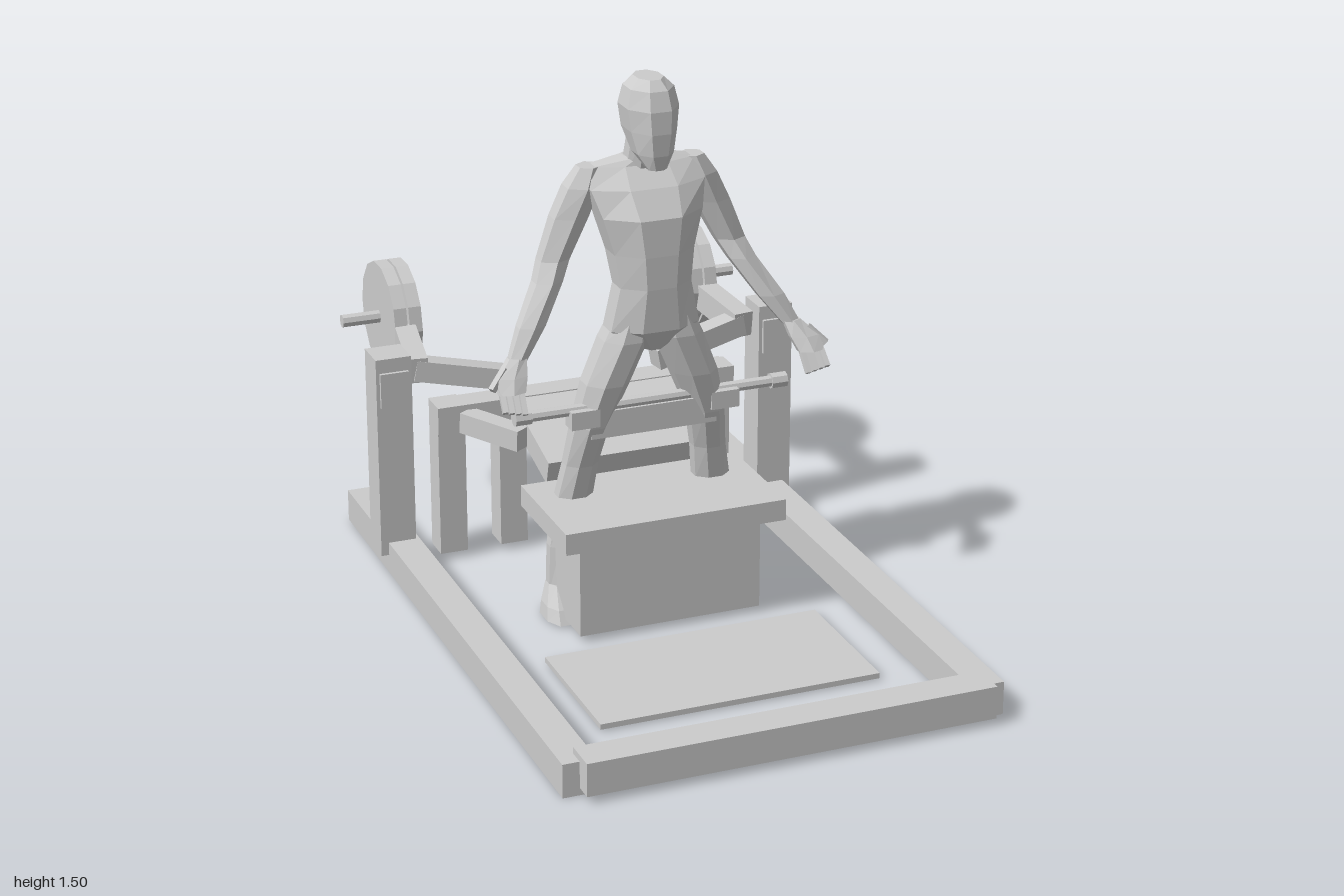
import * as THREE from 'three';

const steel = new THREE.MeshStandardMaterial({ color: 0xcccccc, flatShading: true });
steel.name = 'light grey';

function add(parent, name, geometry) {
  const mesh = new THREE.Mesh(geometry, steel);
  mesh.name = name;
  parent.add(mesh);
  return mesh;
}

// Box given by its extents on each axis
function box(parent, name, x0, x1, y0, y1, z0, z1) {
  const m = add(parent, name, new THREE.BoxGeometry(Math.abs(x1 - x0), y1 - y0, z1 - z0));
  m.position.set((x0 + x1) / 2, (y0 + y1) / 2, (z0 + z1) / 2);
  return m;
}

// Square bar running between two points
function beam(parent, name, a, b, w, h) {
  const p = new THREE.Vector3(...a), q = new THREE.Vector3(...b);
  const m = add(parent, name, new THREE.BoxGeometry(w, h, p.distanceTo(q)));
  m.position.copy(p).lerp(q, 0.5);
  m.lookAt(q);
  return m;
}

// Cylinder lying along x
function rod(parent, name, x0, x1, y, z, r, sides) {
  const m = add(parent, name, new THREE.CylinderGeometry(r, r, Math.abs(x1 - x0), sides));
  m.rotation.z = Math.PI / 2;
  m.position.set((x0 + x1) / 2, y, z);
  return m;
}

// Skin over level rings [x, y, z, halfWidth, halfDepth], listed bottom to top
function loft(parent, name, rings, sides = 8) {
  const pos = [], index = [];
  for (const [x, y, z, rx, rz] of rings) {
    for (let k = 0; k < sides; k++) {
      const t = ((k + 0.5) / sides) * Math.PI * 2, f = 1 / Math.cos(Math.PI / sides);
      pos.push(x + rx * f * Math.cos(t), y, z + rz * f * Math.sin(t));
    }
  }
  for (let j = 0; j < rings.length - 1; j++) {
    for (let k = 0; k < sides; k++) {
      const a = j * sides + k, b = j * sides + (k + 1) % sides;
      index.push(a, a + sides, b, b, a + sides, b + sides);
    }
  }
  const top = (rings.length - 1) * sides;
  for (let k = 1; k < sides - 1; k++) {
    index.push(0, k, k + 1, top, top + k + 1, top + k);
  }
  const g = new THREE.BufferGeometry();
  g.setAttribute('position', new THREE.Float32BufferAttribute(pos, 3));
  g.setIndex(index);
  g.computeVertexNormals();
  return add(parent, name, g);
}

function buildFrame(parent) {
  box(parent, 'frontCrossRail', -0.555, 0.555, 0.02, 0.11, 0.905, 1);
  box(parent, 'floorMat', -0.39, 0.39, 0.005, 0.02, 0.25, 0.66);
  box(parent, 'benchBeam', -0.445, 0.445, 0.39, 0.47, -0.53, -0.45);
  const pad = box(parent, 'benchPad', -0.24, 0.24, 0.375, 0.445, -0.425, -0.125);
  pad.rotation.x = 0.27;
  for (const s of [1, -1]) {
    box(parent, 'sideRail', s * 0.51, s * 0.6, 0, 0.092, -0.84, 0.95);
    box(parent, 'post', s * 0.52, s * 0.622, 0.055, 0.64, -0.545, -0.445);
    box(parent, 'postBracket', s * 0.53, s * 0.612, 0.5, 0.6, -0.558, -0.435);
    for (const x of [0.4, 0.22]) {
      box(parent, 'benchLeg', s * (x - 0.04), s * (x + 0.04), 0.02, 0.465, -0.55, -0.47);
    }
    beam(parent, 'leverArm', [s * 0.49, 0.575, -0.49], [s * 0.458, 0.6, -0.7], 0.06, 0.075);
    beam(parent, 'upperHandle', [s * 0.49, 0.575, -0.515], [s * 0.21, 0.52, -0.475], 0.058, 0.06);
    beam(parent, 'lowerHandle', [s * 0.365, 0.425, -0.45], [s * 0.255, 0.415, -0.285], 0.055, 0.06);
    // weight plates on their peg
    rod(parent, 'weightPeg', s * 0.39, s * 0.6, 0.615, -0.84, 0.019, 8);
    rod(parent, 'innerPlate', s * 0.41, s * 0.447, 0.615, -0.84, 0.16, 14);
    rod(parent, 'outerPlate', s * 0.453, s * 0.49, 0.615, -0.84, 0.16, 14);
  }
}

function buildStep(parent) {
  box(parent, 'stepTop', -0.315, 0.315, 0.285, 0.345, -0.138, 0.215);
  box(parent, 'stepBase', -0.26, 0.26, 0.02, 0.285, -0.085, 0.17);
}

function buildBar(parent) {
  rod(parent, 'bar', -0.39, 0.39, 0.615, 0.03, 0.016, 8);
  box(parent, 'hipPad', -0.18, 0.18, 0.53, 0.605, 0, 0.05);
  for (const s of [1, -1]) {
    rod(parent, 'barCollar', s * 0.345, s * 0.39, 0.615, 0.03, 0.022, 8);
    box(parent, 'barHook', s * 0.16, s * 0.24, 0.57, 0.62, 0.015, 0.065);
  }
}

function buildFigure(parent) {
  loft(parent, 'torso', [
    [0, 0.765, 0.02, 0.03, 0.04], [0, 0.83, 0.025, 0.125, 0.075],
    [0, 0.95, 0.03, 0.1, 0.075], [0, 1.04, 0.015, 0.112, 0.09],
    [0, 1.14, 0, 0.14, 0.1], [0, 1.21, -0.025, 0.16, 0.075],
    [0, 1.26, -0.05, 0.145, 0.045], [0, 1.28, -0.05, 0.05, 0.038],
  ]);
  loft(parent, 'neck', [[0, 1.24, -0.045, 0.05, 0.045], [0, 1.34, -0.025, 0.042, 0.045]]);
  loft(parent, 'head', [
    [0, 1.27, 0.065, 0.025, 0.022], [0, 1.31, 0.035, 0.05, 0.06],
    [0, 1.37, 0.01, 0.064, 0.09], [0, 1.43, 0.005, 0.071, 0.092],
    [0, 1.48, 0.005, 0.06, 0.075], [0, 1.505, 0.005, 0.035, 0.05],
  ]);
  for (const s of [1, -1]) {
    loft(parent, 'arm', [
      [s * 0.39, 0.79, 0.06, 0.024, 0.02], [s * 0.34, 0.87, 0.03, 0.036, 0.028],
      [s * 0.275, 0.97, -0.02, 0.037, 0.036], [s * 0.25, 1.02, -0.045, 0.04, 0.036],
      [s * 0.2, 1.13, -0.055, 0.048, 0.042], [s * 0.165, 1.21, -0.055, 0.045, 0.045],
      [s * 0.145, 1.262, -0.052, 0.03, 0.03],
    ], 6);
    // palm with four fingers and a thumb
    loft(parent, 'palm', [
      [s * 0.425, 0.725, 0.115, 0.036, 0.02], [s * 0.415, 0.76, 0.09, 0.04, 0.02],
      [s * 0.39, 0.8, 0.06, 0.024, 0.018],
    ], 6);
    for (let i = 0; i < 4; i++) {
      const x = 0.398 + i * 0.018;
      beam(parent, 'finger', [s * x, 0.735, 0.11], [s * (x + 0.004), 0.675 + i * 0.004, 0.155], 0.014, 0.014);
    }
    beam(parent, 'thumb', [s * 0.43, 0.78, 0.08], [s * 0.475, 0.735, 0.105], 0.016, 0.016);
    loft(parent, 'leg', [
      [s * 0.25, 0.06, -0.045, 0.026, 0.032], [s * 0.235, 0.2, -0.045, 0.036, 0.036],
      [s * 0.2, 0.34, -0.04, 0.05, 0.042], [s * 0.185, 0.44, -0.025, 0.046, 0.044],
      [s * 0.165, 0.56, 0, 0.05, 0.055], [s * 0.125, 0.68, 0.01, 0.062, 0.065],
      [s * 0.075, 0.8, 0.015, 0.064, 0.07], [s * 0.06, 0.86, 0.02, 0.05, 0.06],
    ]);
    loft(parent, 'foot', [
      [s * 0.262, 0.005, -0.01, 0.038, 0.075], [s * 0.26, 0.04, -0.02, 0.034, 0.062],
      [s * 0.25, 0.09, -0.045, 0.026, 0.034],
    ]);
  }
}

export function createModel() {
  const model = new THREE.Group();
  model.name = 'gymMachineWithFigure';
  const parts = { machineFrame: buildFrame, step: buildStep, barbell: buildBar, figure: buildFigure };
  for (const [name, build] of Object.entries(parts)) {
    const group = new THREE.Group();
    group.name = name;
    build(group);
    model.add(group);
  }
  return model;
}
